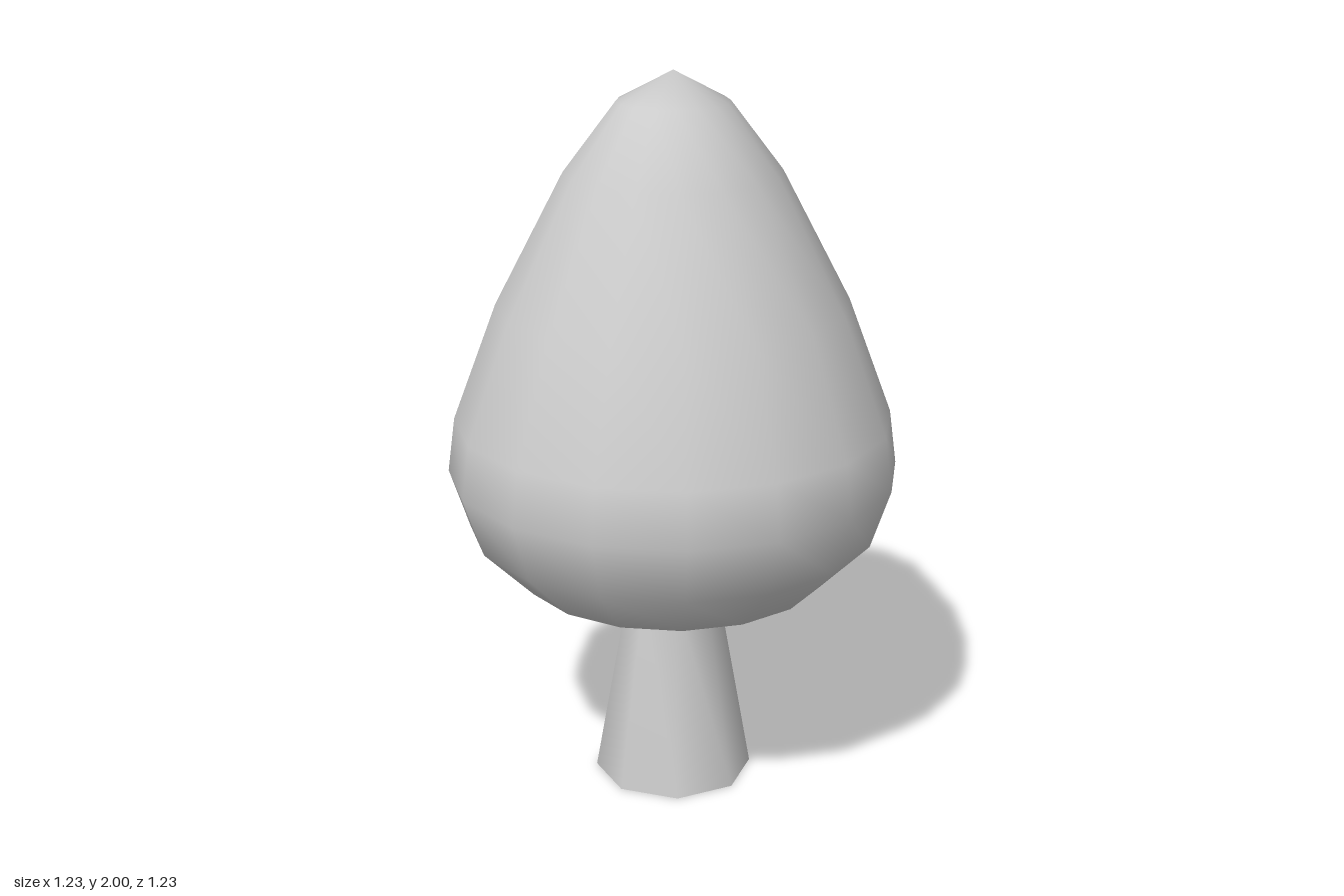
import * as THREE from 'three';
import { mergeVertices } from 'three/addons/utils/BufferGeometryUtils.js';

// Lathe with fully shared vertices, so the seam and poles shade smoothly
function smoothLathe(profile, sides) {
  const lathe = new THREE.LatheGeometry(profile.map(([r, y]) => new THREE.Vector2(r, y)), sides);
  lathe.deleteAttribute('uv');
  lathe.deleteAttribute('normal');
  const geometry = mergeVertices(lathe, 1e-4);
  geometry.computeVertexNormals();
  return geometry;
}

export function createModel() {
  const group = new THREE.Group();
  group.name = 'tree';

  // Egg-shaped crown, 16 sides, flat underneath
  const crown = new THREE.Mesh(
    smoothLathe([
      [0, 0.56], [0.265, 0.555], [0.42, 0.605], [0.56, 0.745], [0.615, 0.91],
      [0.595, 1.06], [0.475, 1.38], [0.29, 1.735], [0.15, 1.92], [0, 2],
    ], 16),
    new THREE.MeshStandardMaterial({ color: 0xcccccc }),
  );
  crown.name = 'crown';
  group.add(crown);

  // Tapered hollow trunk, 8 sides, open at the base
  const trunk = new THREE.Mesh(
    smoothLathe([[0.22, 0], [0.122, 0.565]], 8),
    new THREE.MeshStandardMaterial({ color: 0xcccccc, side: THREE.DoubleSide }),
  );
  trunk.name = 'trunk';
  group.add(trunk);

  return group;
}
